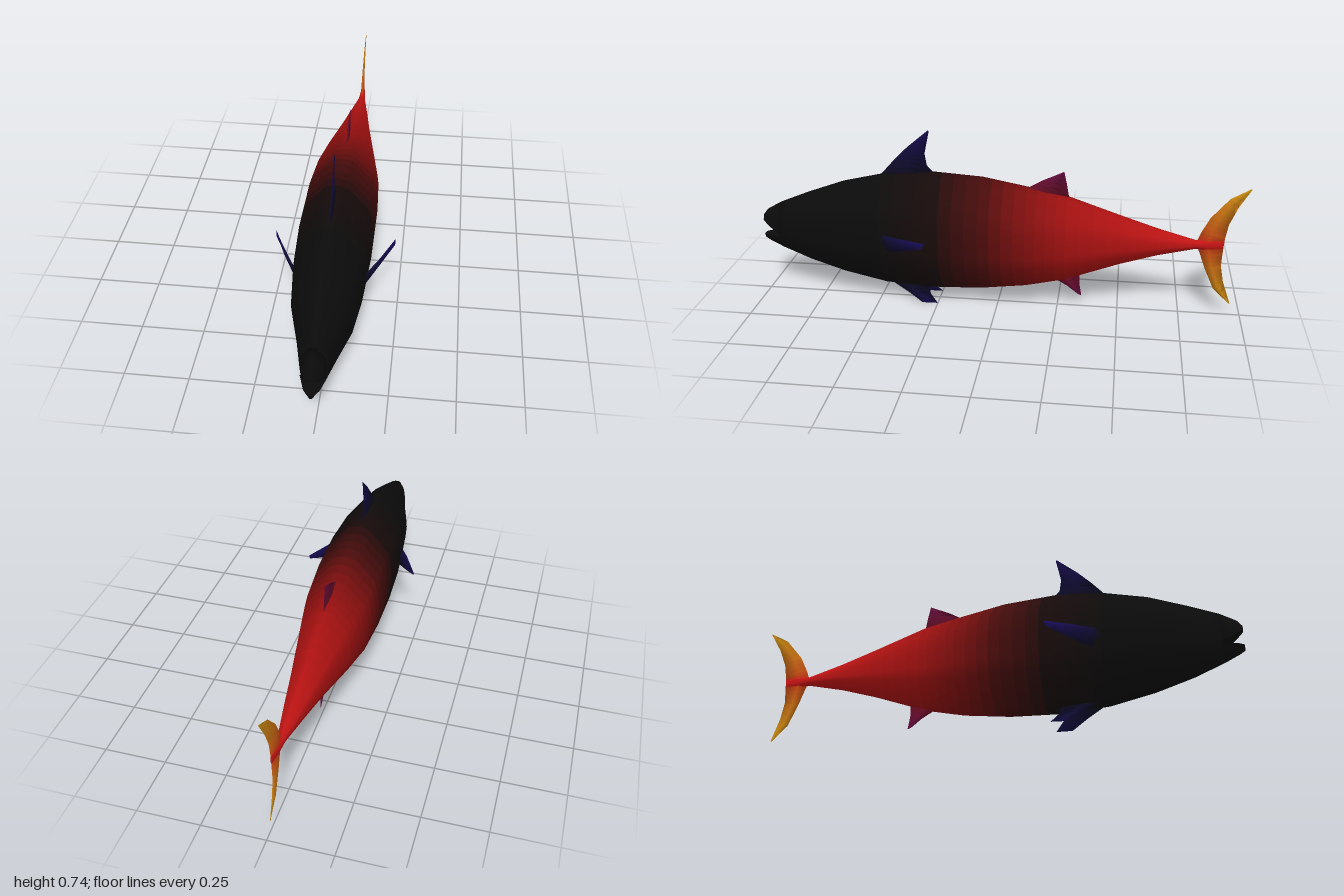
import * as THREE from 'three';

// Lofts a closed skin through rings of equal length; colorAt(t) tints each band.
function loft(name, rings, colorAt) {
  const n = rings[0].length, last = rings.length - 1;
  const points = rings.flat();
  const centre = ring => ring.reduce((s, p) => s.add(p), new THREE.Vector3()).divideScalar(n);
  const a = points.push(centre(rings[0])) - 1, b = points.push(centre(rings[last])) - 1;
  const bands = [];
  for (let i = 0; i < last; i++) {
    const tris = [];
    for (let j = 0; j < n; j++) {
      const k = (j + 1) % n, p = i * n + j, q = i * n + k;
      tris.push([p, q, p + n], [q, q + n, p + n]);
      if (i === 0) tris.push([a, q, p]);
      if (i === last - 1) tris.push([b, p + n, q + n]);
    }
    bands.push(tris);
  }
  // Turn the skin outwards whichever way the rings run
  const mid = centre(rings[last >> 1]), v = new THREE.Vector3();
  const rel = i => points[i].clone().sub(mid);
  let volume = 0;
  for (const [p, q, r] of bands.flat()) volume += rel(p).dot(v.crossVectors(rel(q), rel(r)));
  const geometry = new THREE.BufferGeometry().setFromPoints(points);
  const index = [], materials = [];
  bands.forEach((tris, i) => {
    geometry.addGroup(index.length, tris.length * 3, i);
    for (const [p, q, r] of tris) index.push(...(volume < 0 ? [p, r, q] : [p, q, r]));
    materials.push(new THREE.MeshStandardMaterial({ color: colorAt((i + 0.5) / last) }));
  });
  geometry.setIndex(index);
  geometry.computeVertexNormals();
  const mesh = new THREE.Mesh(geometry, materials);
  mesh.name = name;
  return mesh;
}

const blend = (from, to) => t => new THREE.Color(from).lerp(new THREE.Color(to), t);

// Fin sections: [leading point, trailing point, half thickness], root to tip.
function fin(name, sections, side, from, to) {
  const rings = [], normal = new THREE.Vector3(...side).normalize(), steps = 3;
  const ring = ([l, t, w]) => {
    const lead = new THREE.Vector3(...l), trail = new THREE.Vector3(...t);
    const mid = lead.clone().lerp(trail, 0.4);
    return [lead, mid.clone().addScaledVector(normal, w), trail, mid.clone().addScaledVector(normal, -w)];
  };
  for (let i = 0; i < sections.length - 1; i++) {
    const p = ring(sections[i]), q = ring(sections[i + 1]);
    for (let s = 0; s < steps; s++) rings.push(p.map((c, j) => c.clone().lerp(q[j], s / steps)));
  }
  rings.push(ring(sections[sections.length - 1]));
  return loft(name, rings, blend(from, to));
}

// Fin in the middle plane, given as [z, y, z, y, half thickness]
const midFin = (name, rows, from, to) =>
  fin(name, rows.map(([a, b, c, d, w]) => [[0, b, a], [0, d, c], w]), [1, 0, 0], from, to);

// Body stations: z, top, bottom, half width
const STATIONS = [
  [1, 0.345, 0.24, 0.014], [0.98, 0.37, 0.228, 0.028], [0.92, 0.405, 0.2, 0.048],
  [0.8, 0.455, 0.153, 0.076], [0.65, 0.51, 0.11, 0.118], [0.47, 0.553, 0.072, 0.138],
  [0.28, 0.567, 0.06, 0.147], [0.07, 0.553, 0.069, 0.147], [-0.12, 0.518, 0.093, 0.136],
  [-0.28, 0.488, 0.127, 0.106], [-0.5, 0.415, 0.208, 0.066], [-0.65, 0.367, 0.255, 0.042],
  [-0.8, 0.327, 0.29, 0.016], [-0.86, 0.333, 0.285, 0.011], [-0.91, 0.33, 0.295, 0.003],
];
// Half cross-section, as fractions of half width and half height
const HALF = [[0.3, 0.95], [0.865, 0.565], [0.96, 0.3], [1, 0.08], [0.96, -0.22], [0.89, -0.49], [0.3, -0.96]];
const SECTION = [[0, 1], ...HALF, [0, -1], ...HALF.map(([x, y]) => [-x, y]).reverse()];

const TINTS = [[0.5, 0x0b0b0b], [0.25, 0x170a0a], [0.05, 0x480b0b], [-0.3, 0xa01010], [-0.91, 0xc81414]];
function tint(z) {
  if (z >= TINTS[0][0]) return new THREE.Color(TINTS[0][1]);
  const i = Math.min(TINTS.findIndex(s => z >= s[0]) + TINTS.length, 2 * TINTS.length) % TINTS.length || TINTS.length - 1;
  const [za, a] = TINTS[i - 1], [zb, b] = TINTS[i];
  return blend(a, b)((za - z) / (za - zb));
}

function bodyRing(z, clamp = y => y) {
  let i = STATIONS.findIndex(s => s[0] <= z);
  i = Math.max(i < 0 ? STATIONS.length - 1 : i, 1);
  const p = STATIONS[i - 1], q = STATIONS[i], t = (p[0] - z) / (p[0] - q[0]);
  const [top, bottom, width] = [1, 2, 3].map(k => THREE.MathUtils.lerp(p[k], q[k], t));
  return SECTION.map(([x, y]) =>
    new THREE.Vector3(x * width, clamp((top + bottom) / 2 + y * (top - bottom) / 2), z));
}

export function createModel() {
  const model = new THREE.Group();
  model.name = 'fish';

  // Body from the mouth corner to the tail root
  const corner = 0.92, zs = [];
  for (let i = 2; i < STATIONS.length - 1; i++) {
    const steps = 4;
    for (let s = 0; s < steps; s++) zs.push(THREE.MathUtils.lerp(STATIONS[i][0], STATIONS[i + 1][0], s / steps));
  }
  zs.push(-0.91);
  model.add(loft('body', zs.map(z => bodyRing(z)), t => {
    const f = t * (zs.length - 1), i = Math.floor(f);
    return tint((zs[i] + zs[i + 1]) / 2);
  }));

  // Open jaws: the front of the body cut by a wedge
  const jawZ = [corner, 0.95, 0.98, 1], gape = z => (z - corner) / (1 - corner);
  const black = () => tint(1);
  model.add(loft('upperJaw', jawZ.map(z => bodyRing(z, y => Math.max(y, 0.265 + 0.06 * gape(z)))), black));
  model.add(loft('lowerJaw', jawZ.map(z => bodyRing(z, y => Math.min(y, 0.265 - 0.005 * gape(z)))), black));

  // Fins on the back and belly
  model.add(midFin('firstDorsalFin', [
    [0.5, 0.53, 0.24, 0.54, 0.007], [0.425, 0.615, 0.292, 0.595, 0.005],
    [0.37, 0.67, 0.3, 0.645, 0.004], [0.285, 0.742, 0.28, 0.74, 0.001]], 0x0a0a14, 0x140a48));
  model.add(midFin('secondDorsalFin', [
    [-0.09, 0.5, -0.29, 0.47, 0.006], [-0.18, 0.553, -0.277, 0.54, 0.004],
    [-0.255, 0.588, -0.265, 0.593, 0.001]], 0x600c18, 0x600c40));
  model.add(midFin('analFin', [
    [-0.22, 0.13, -0.34, 0.17, 0.006], [-0.29, 0.09, -0.34, 0.105, 0.004],
    [-0.335, 0.055, -0.35, 0.05, 0.001]], 0x700c18, 0x600c40));

  // Crescent tail
  model.add(midFin('upperTailLobe', [
    [-0.8, 0.31, -0.912, 0.31, 0.009], [-0.818, 0.36, -0.914, 0.34, 0.007],
    [-0.85, 0.425, -0.924, 0.4, 0.005], [-0.92, 0.51, -0.955, 0.475, 0.003],
    [-0.998, 0.556, -1, 0.552, 0.001]], 0xc81414, 0xc89010));
  model.add(midFin('lowerTailLobe', [
    [-0.8, 0.315, -0.912, 0.315, 0.009], [-0.82, 0.27, -0.91, 0.275, 0.007],
    [-0.842, 0.21, -0.908, 0.22, 0.005], [-0.885, 0.115, -0.922, 0.15, 0.003],
    [-0.952, 0.052, -0.957, 0.053, 0.001]], 0xc81414, 0xc89010));

  // Paired fins
  for (const [label, s] of [['left', 1], ['right', -1]]) {
    model.add(fin(label + 'PectoralFin', [
      [[s * 0.125, 0.335, 0.48], [s * 0.13, 0.26, 0.44], 0.008],
      [[s * 0.178, 0.343, 0.385], [s * 0.185, 0.295, 0.35], 0.006],
      [[s * 0.233, 0.35, 0.265], [s * 0.232, 0.328, 0.275], 0.002]],
    [s, 0, 0.5], 0x0a0a1c, 0x180c58));
    model.add(fin(label + 'PelvicFin', [
      [[s * 0.028, 0.085, 0.46], [s * 0.028, 0.08, 0.29], 0.006],
      [[s * 0.043, 0.038, 0.375], [s * 0.043, 0.038, 0.282], 0.005],
      [[s * 0.059, 0.002, 0.315], [s * 0.059, 0.003, 0.25], 0.002]],
    [s, 0.5, 0], 0x0a0a14, 0x120a40));
  }
  return model;
}
